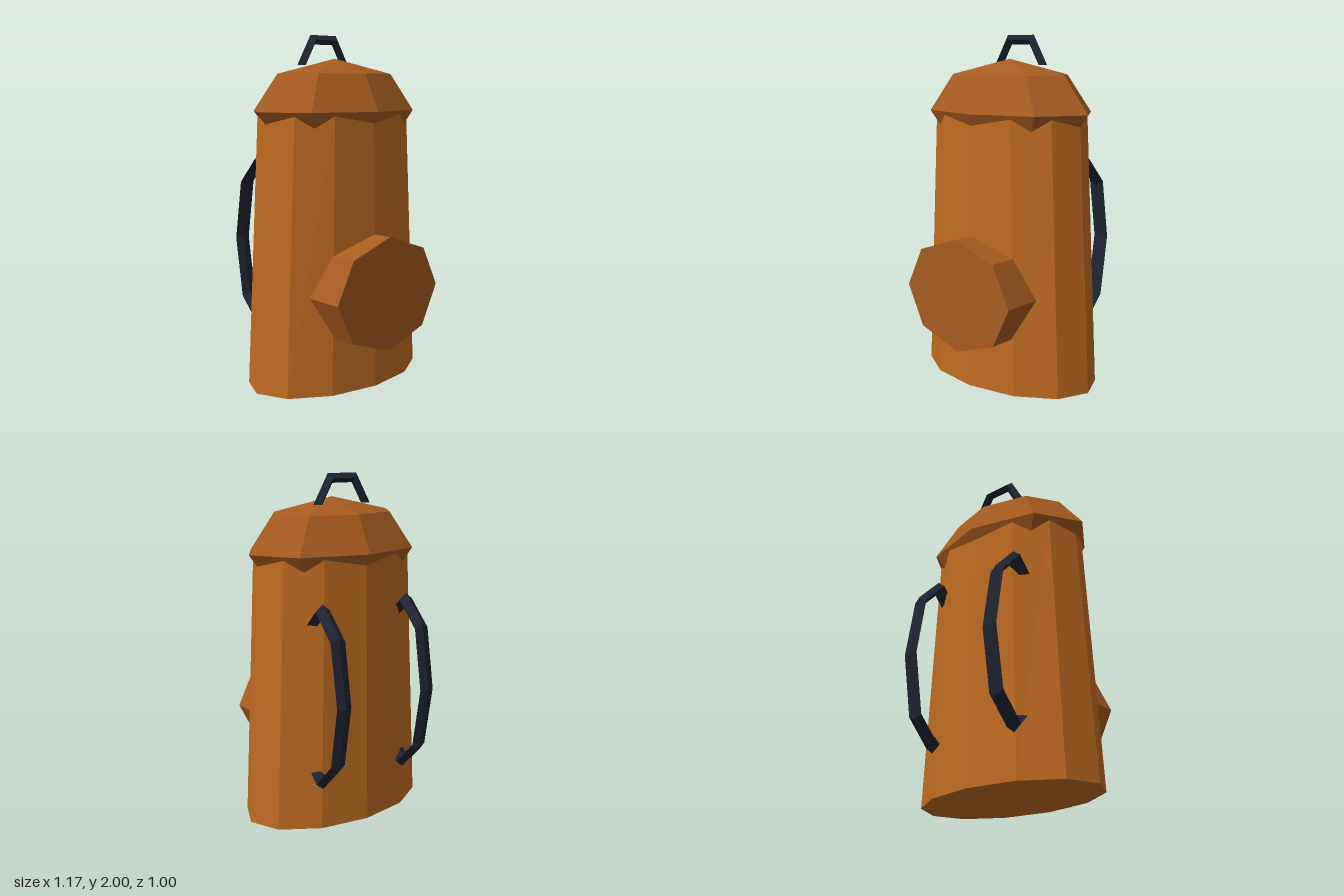
import * as THREE from 'three';

const material = (color) => new THREE.MeshStandardMaterial({ color, flatShading: true, side: THREE.DoubleSide });

const BODY_Z = 0.04; // the bag sits slightly forward of the middle

export function createModel() {
  const bag = new THREE.Group();
  bag.name = 'backpack';
  const canvas = material(0xc06c22);
  const trim = material(0xa65c20);
  const leather = material(0x1f2531);

  const add = (name, geometry, mat, x, y, z) => {
    const mesh = new THREE.Mesh(geometry, mat);
    mesh.name = name;
    mesh.position.set(x, y, z);
    bag.add(mesh);
  };

  // Body: twelve-sided oval that tapers more in width than in depth
  const height = 1.57;
  const body = new THREE.CylinderGeometry(1, 1, height, 12);
  const p = body.attributes.position;
  for (let i = 0; i < p.count; i++) {
    const top = p.getY(i) > 0;
    p.setX(i, p.getX(i) * (top ? 0.5 : 0.587));
    p.setZ(i, p.getZ(i) * (top ? 0.326 : 0.358));
  }
  body.computeVertexNormals();
  add('body', body, canvas, 0, height / 2, BODY_Z);

  // Lid: faceted oval dome whose underside tucks into the body
  const lid = new THREE.SphereGeometry(1, 8, 4).scale(0.555, 0.295, 0.36);
  add('lid', lid, trim, 0, 1.57, BODY_Z);

  // Front pocket: octagonal drum set into the body
  const pocket = new THREE.CylinderGeometry(1, 1, 0.35, 8)
    .rotateX(Math.PI / 2)
    .scale(0.39, 0.325, 1);
  add('frontPocket', pocket, trim, 0, 0.56, 0.325);

  // Carry handle: half of a six-sided ring
  const handle = new THREE.TorusGeometry(0.165, 0.031, 4, 3, Math.PI);
  add('carryHandle', handle, leather, 0, 1.83, -0.057);

  // Shoulder straps: tall eight-sided loops half sunk into the back
  for (const side of [1, -1]) {
    const strap = new THREE.TorusGeometry(1, 0.075, 4, 8)
      .scale(0.2, 0.498, 0.63)
      .rotateY(Math.PI / 2);
    add(side > 0 ? 'leftStrap' : 'rightStrap', strap, leather, side * 0.293, 0.785, -0.283);
  }

  return bag;
}
